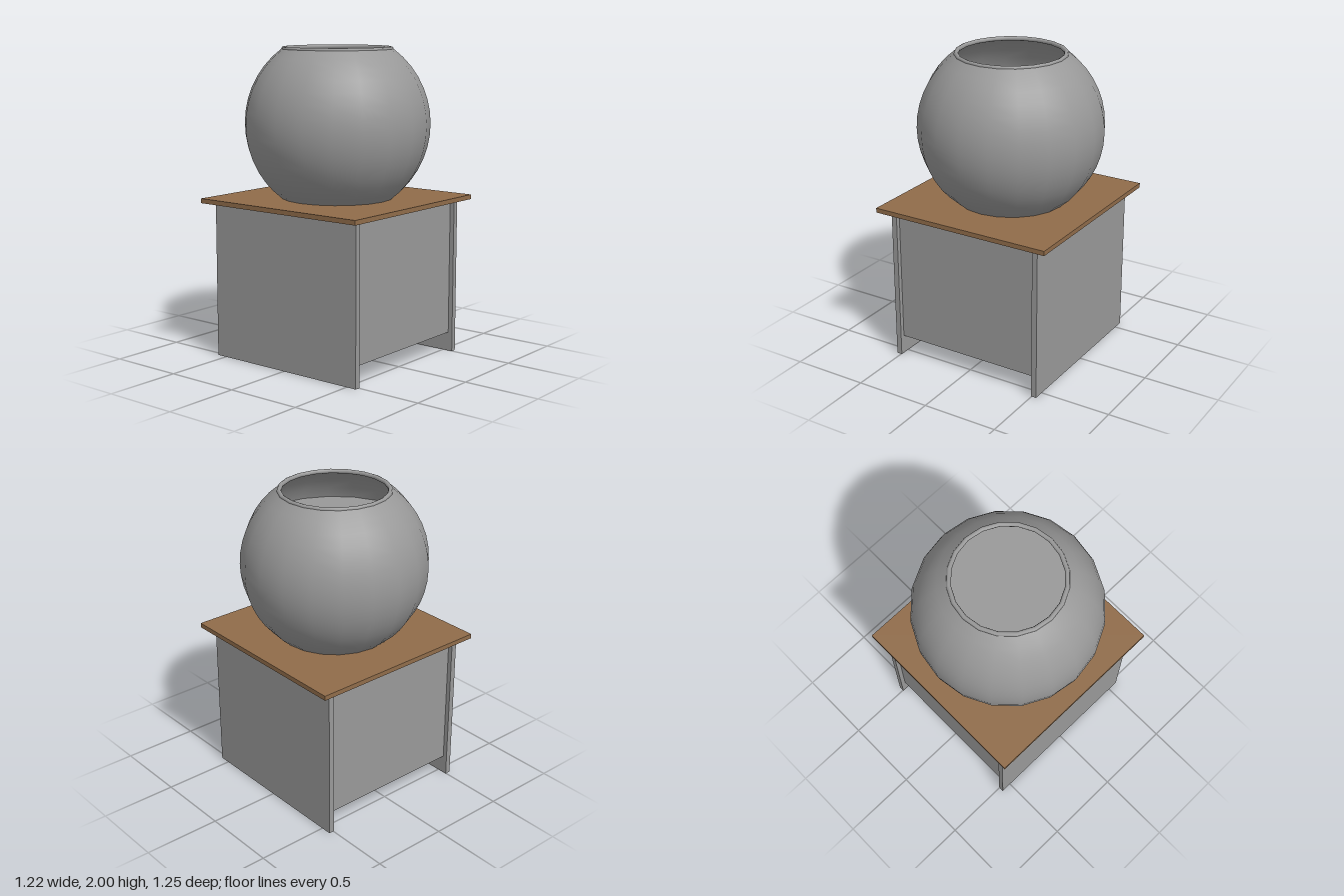
import * as THREE from 'three';

export function createModel() {
  const model = new THREE.Group();
  const grey = new THREE.MeshStandardMaterial({ color: 0x999999, side: THREE.DoubleSide });
  grey.name = 'grey';
  const brown = new THREE.MeshStandardMaterial({ color: 0x906c4a });
  brown.name = 'brown wood';

  const add = (name, geometry, material, x, y, z) => {
    const mesh = new THREE.Mesh(geometry, material);
    mesh.name = name;
    mesh.position.set(x, y, z);
    model.add(mesh);
    return mesh;
  };
  const box = (name, w, h, d, material, x, y, z) =>
    add(name, new THREE.BoxGeometry(w, h, d), material, x, y, z);

  // Stand: two full-height sides, with shorter panels set in at front and back
  for (const [side, s] of [['left', 1], ['right', -1]]) {
    box(side + 'SidePanel', 0.036, 1.01, 1.14, grey, s * 0.514, 0.505, 0);
  }
  for (const [end, s] of [['front', 1], ['back', -1]]) {
    box(end + 'Panel', 0.992, 0.885, 0.036, grey, 0, 0.5675, s * 0.522);
  }
  box('tableTop', 1.22, 0.03, 1.25, brown, 0, 1.025, 0);

  // Bowl: sphere cut flat at the base and open at the top
  const sides = 20, radius = 0.593, centre = 1.51;
  const start = Math.asin((1.04 - centre) / radius);
  const end = Math.asin((1.985 - centre) / radius);
  const profile = [];
  for (let i = 0; i <= 14; i++) {
    const a = start + (end - start) * i / 14;
    profile.push(new THREE.Vector2(radius * Math.cos(a), centre + radius * Math.sin(a)));
  }
  add('bowl', new THREE.LatheGeometry(profile, sides), grey, 0, 0, 0);

  const disc = (name, r, y) => {
    const mesh = add(name, new THREE.CircleGeometry(r, sides), grey, 0, y, 0);
    mesh.rotation.x = -Math.PI / 2;
  };
  disc('bowlBase', 0.36, 1.043);

  // Level surface of the filling inside the bowl
  disc('fillSurface', 0.54, 1.74);

  // Rounded lip around the opening
  const lip = add('rim', new THREE.TorusGeometry(0.341, 0.0145, 8, sides), grey, 0, 1.9855, 0);
  lip.rotation.x = Math.PI / 2;

  return model;
}
